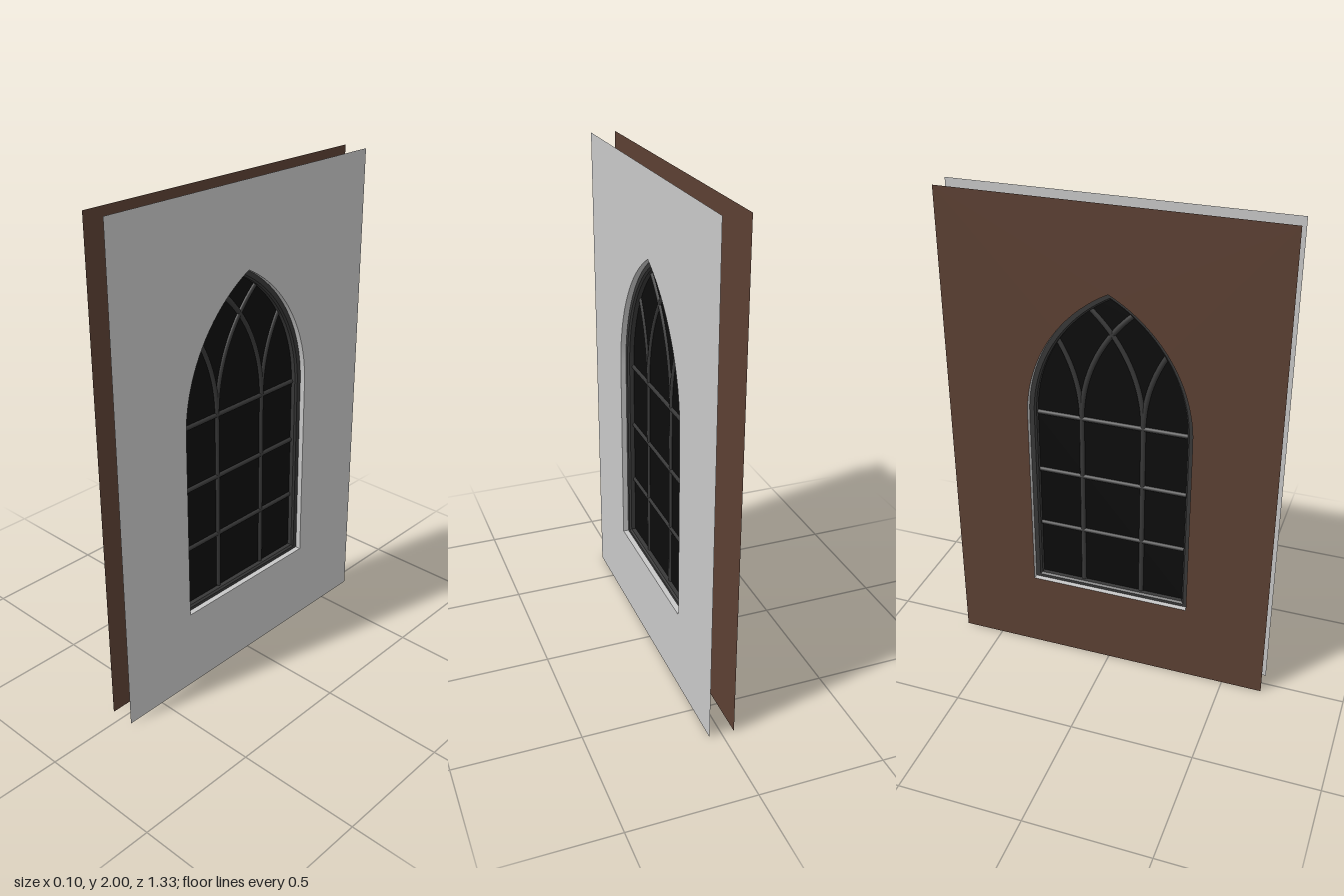
import * as THREE from 'three';
import { toCreasedNormals } from 'three/addons/utils/BufferGeometryUtils.js';

const SPRING = 1.12;   // height where the arch begins
const HALF = 0.333;    // half width of the opening
const SILL = 0.335;    // bottom of the opening
const R = 0.62;        // arch radius
const C = R - HALF;    // distance of each arch centre from the middle line
const MULLION = 0.125;

const mat = (name, color, side = THREE.FrontSide) => {
  const m = new THREE.MeshStandardMaterial({ color, side });
  m.name = name;
  return m;
};

// Pointed arch outline, counter-clockwise, grown outward by d
function archPoints(d, bottom, n = 20) {
  const r = R + d, w = HALF + d, top = Math.acos(C / r), pts = [];
  pts.push(new THREE.Vector2(-w, bottom), new THREE.Vector2(w, bottom));
  for (let i = 0; i <= n; i++) {
    const a = (top * i) / n;
    pts.push(new THREE.Vector2(r * Math.cos(a) - C, SPRING + r * Math.sin(a)));
  }
  for (let i = n - 1; i >= 0; i--) {
    const a = (top * i) / n;
    pts.push(new THREE.Vector2(C - r * Math.cos(a), SPRING + r * Math.sin(a)));
  }
  return pts;
}

// Wall surface lining the opening between the two panels
function revealGeometry(pts, depth) {
  const pos = [], idx = [], n = pts.length;
  pts.forEach((p) => pos.push(p.x, p.y, -depth / 2, p.x, p.y, depth / 2));
  for (let i = 0; i < n; i++) {
    const a = 2 * i, b = 2 * ((i + 1) % n);
    idx.push(a, a + 1, b, b, a + 1, b + 1);
  }
  const g = new THREE.BufferGeometry();
  g.setAttribute('position', new THREE.Float32BufferAttribute(pos, 3));
  g.setIndex(idx);
  return toCreasedNormals(g, 0.5);
}

// Arc springing from a mullion toward dir, stopping inside the frame
function traceryCurve(u0, dir) {
  const pts = [];
  for (let a = 0; a < 1.5; a += 0.03) {
    const u = u0 + dir * R * (1 - Math.cos(a)), h = R * Math.sin(a);
    pts.push(new THREE.Vector3(u, SPRING + h, 0));
    if (Math.hypot(Math.abs(u) + C, h) > R - 0.015) break;
  }
  return new THREE.CatmullRomCurve3(pts);
}

export function createModel() {
  const stone = mat('light grey wall', 0xc8c8c8, THREE.DoubleSide);
  const brown = mat('brown wall', 0x5c4033, THREE.DoubleSide);
  const iron = mat('dark frame', 0x383838);
  const glass = mat('black glass', 0x0c0c0c);

  const model = new THREE.Group();
  model.name = 'archedWindow';
  const win = new THREE.Group(); // built facing +z, then turned to face +x
  win.name = 'windowAssembly';
  win.rotation.y = Math.PI / 2;
  model.add(win);

  const add = (name, geo, material, x = 0, y = 0, z = 0) => {
    const m = new THREE.Mesh(geo, material);
    m.name = name;
    m.position.set(x, y, z);
    win.add(m);
    return m;
  };

  // Two wall faces with the arched opening cut out
  const opening = archPoints(0, SILL);
  const wall = new THREE.Shape([[-0.667, 0], [0.667, 0], [0.667, 2], [-0.667, 2]]
    .map(([x, y]) => new THREE.Vector2(x, y)));
  wall.holes.push(new THREE.Path(opening.slice().reverse()));
  const wallGeo = new THREE.ShapeGeometry(wall);
  add('outerWall', wallGeo, stone, 0, 0, 0.05);
  add('innerWall', wallGeo, brown, 0, 0, -0.05);
  add('reveal', revealGeometry(opening, 0.1), stone);

  // Frame with a small chamfer
  const bevel = 0.007;
  const frame = new THREE.Shape(archPoints(0.012 - bevel, 0.325 + bevel));
  frame.holes.push(new THREE.Path(archPoints(-0.026 + bevel, 0.354 - bevel).reverse()));
  const frameGeo = new THREE.ExtrudeGeometry(frame, {
    depth: 0.042, bevelThickness: bevel, bevelSize: bevel, bevelSegments: 1,
  });
  frameGeo.translate(0, 0, -0.021);
  add('frame', toCreasedNormals(frameGeo, 0.5), iron);

  // Glass pane
  const paneGeo = new THREE.ExtrudeGeometry(new THREE.Shape(archPoints(-0.012, 0.34)),
    { depth: 0.006, bevelEnabled: false });
  paneGeo.translate(0, 0, -0.003);
  add('glassPane', paneGeo, glass);

  // Mullions and crossbars
  const bar = 0.011;
  const bottom = 0.345;
  for (const s of [-1, 1]) {
    add('mullion', new THREE.CylinderGeometry(bar, bar, SPRING - bottom, 10), iron,
      s * MULLION, (SPRING + bottom) / 2);
    // Intersecting tracery arcs
    for (const dir of [-1, 1]) {
      add('traceryArc', new THREE.TubeGeometry(traceryCurve(s * MULLION, dir), 24, bar, 10), iron);
    }
  }
  for (const y of [0.6, 0.858, SPRING]) {
    add('crossbar', new THREE.CylinderGeometry(bar, bar, 0.63, 10), iron, 0, y).rotation.z = Math.PI / 2;
  }
  return model;
}
